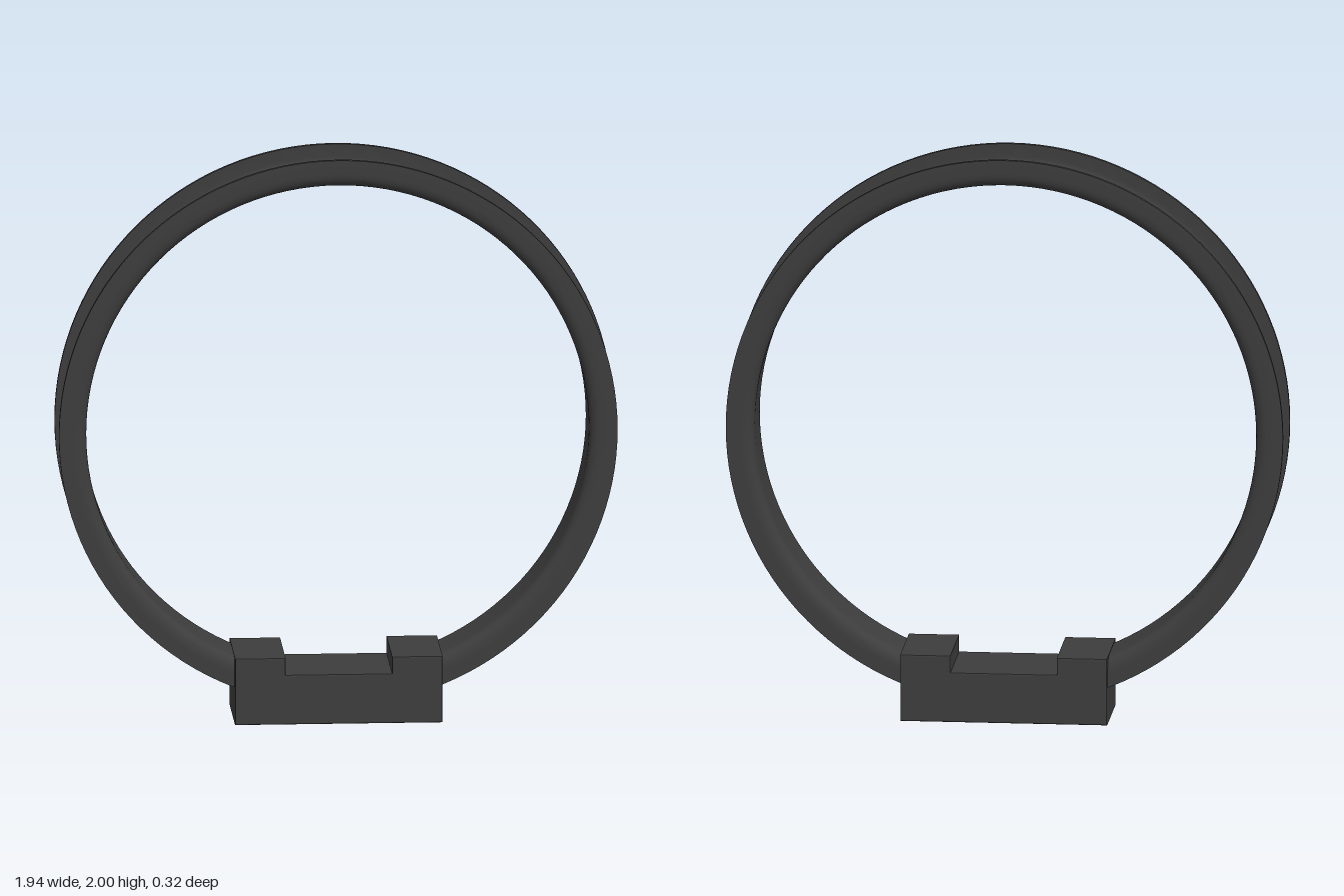
import * as THREE from 'three';
import { toCreasedNormals } from 'three/addons/utils/BufferGeometryUtils.js';

const RING_Y = 1.03;

// Revolve a closed (radius, z) outline around the z axis
function revolve(outline) {
  const geometry = new THREE.LatheGeometry([...outline, outline[0].clone()], 128);
  geometry.rotateX(Math.PI / 2);
  return toCreasedNormals(geometry, 0.6);
}

function addMesh(group, name, geometry, material) {
  const mesh = new THREE.Mesh(geometry, material);
  mesh.name = name;
  group.add(mesh);
  return mesh;
}

export function createModel() {
  const group = new THREE.Group();
  group.name = 'ringOnStand';
  const dark = new THREE.MeshStandardMaterial({ color: 0x3d3d3d });
  const gold = new THREE.MeshStandardMaterial({ color: 0x9a651c });

  // Channel rim: thin bore wall curving up into two flanges
  const channel = new THREE.Shape();
  channel.moveTo(0.97, -0.135);
  channel.lineTo(0.97, -0.119);
  channel.lineTo(0.93, -0.119);
  channel.quadraticCurveTo(0.897, -0.119, 0.897, -0.086);
  channel.lineTo(0.897, 0.086);
  channel.quadraticCurveTo(0.897, 0.119, 0.93, 0.119);
  channel.lineTo(0.97, 0.119);
  channel.lineTo(0.97, 0.135);
  channel.lineTo(0.925, 0.135);
  channel.quadraticCurveTo(0.873, 0.135, 0.873, 0.088);
  channel.lineTo(0.873, -0.088);
  channel.quadraticCurveTo(0.873, -0.135, 0.925, -0.135);
  addMesh(group, 'channelRim', revolve(channel.getPoints(8)), dark).position.y = RING_Y;

  // Coloured band lying on the floor of the channel
  const band = [[0.89, -0.094], [0.901, -0.094], [0.901, 0.094], [0.89, 0.094]]
    .map(([r, z]) => new THREE.Vector2(r, z));
  addMesh(group, 'innerBand', revolve(band), gold).position.y = RING_Y;

  // Stand: block with a notch between two raised ends
  const b = 0.005;
  const profile = new THREE.Shape([
    [-0.36, 0], [0.36, 0], [0.36, 0.237], [0.185, 0.237],
    [0.185, 0.177], [-0.185, 0.177], [-0.185, 0.237], [-0.36, 0.237],
  ].map(([x, y]) => new THREE.Vector2(x, y)));
  const stand = new THREE.ExtrudeGeometry(profile, {
    depth: 0.32 - 2 * b,
    bevelThickness: b,
    bevelSize: b,
    bevelOffset: -b,
    bevelSegments: 2,
  });
  stand.translate(0, 0, -0.16 + b);
  addMesh(group, 'stand', stand, dark);

  return group;
}
